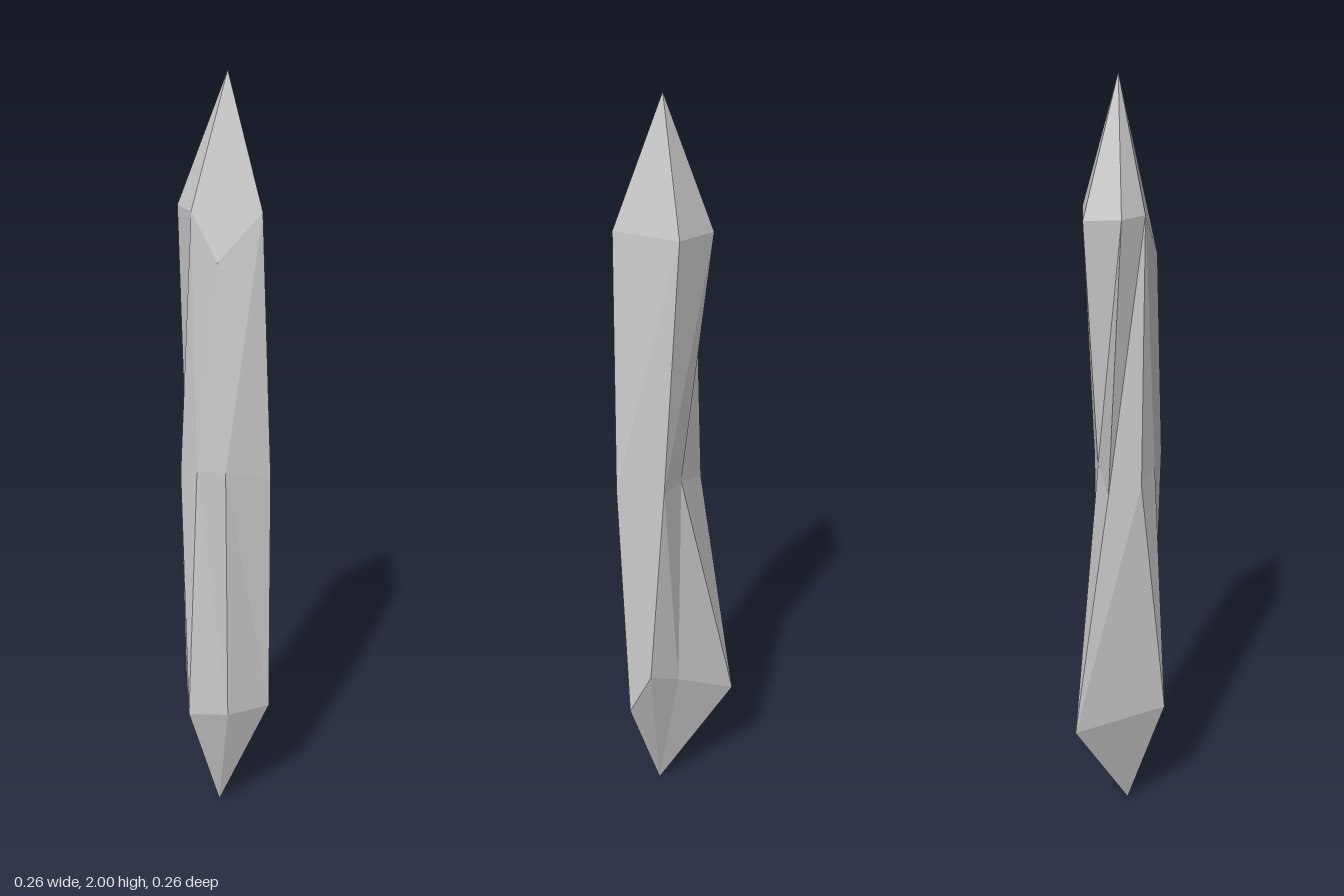
import * as THREE from 'three';

// Irregular cross-sections [x, y, z], running from the left-front corner round the front.
// A repeated corner merges two edges into one.
const UPPER = [
  [0.105, 1.69, 0.093], [0, 1.57, 0.108], [-0.07, 1.68, 0.062], [-0.07, 1.68, 0.062],
  [-0.115, 1.68, -0.005], [-0.06, 1.67, -0.087], [0.067, 1.68, -0.065],
];
const MIDDLE = [
  [0.13, 1.015, 0.08], [0.023, 1.04, 0.13], [-0.055, 1.03, 0.095], [-0.105, 1.0, 0.05],
  [-0.105, 0.98, -0.035], [0.01, 1.02, -0.04], [0.088, 1.02, -0.035],
];
const LOWER = [
  [0.13, 0.33, 0.05], [0.027, 0.33, 0.115], [-0.077, 0.33, 0.125], [-0.13, 0.31, -0.13],
  [-0.13, 0.31, -0.13], [0.02, 0.4, -0.04], [0.11, 0.45, -0.005],
];
const TIP = [0.01, 2, 0.012];
const BASE = [-0.008, 0, 0.038];

export function createModel() {
  const group = new THREE.Group();
  group.name = 'crystalShard';

  const positions = [];
  const same = (a, b) => a.every((v, k) => v === b[k]);
  const tri = (a, b, c) => {
    if (!same(a, b) && !same(b, c) && !same(a, c)) positions.push(...a, ...b, ...c);
  };

  const n = MIDDLE.length;
  for (let i = 0; i < n; i++) {
    const j = (i + 1) % n;
    // pointed top
    tri(TIP, UPPER[j], UPPER[i]);
    // upper shaft
    tri(UPPER[i], UPPER[j], MIDDLE[j]);
    tri(UPPER[i], MIDDLE[j], MIDDLE[i]);
    // lower shaft
    tri(MIDDLE[i], MIDDLE[j], LOWER[i]);
    tri(MIDDLE[j], LOWER[j], LOWER[i]);
    // pointed bottom
    tri(BASE, LOWER[i], LOWER[j]);
  }

  const geometry = new THREE.BufferGeometry();
  geometry.setAttribute('position', new THREE.Float32BufferAttribute(positions, 3));
  geometry.computeVertexNormals();

  const crystal = new THREE.Mesh(
    geometry,
    new THREE.MeshStandardMaterial({ color: 0xcccccc, flatShading: true }),
  );
  crystal.name = 'crystal';
  group.add(crystal);
  return group;
}
